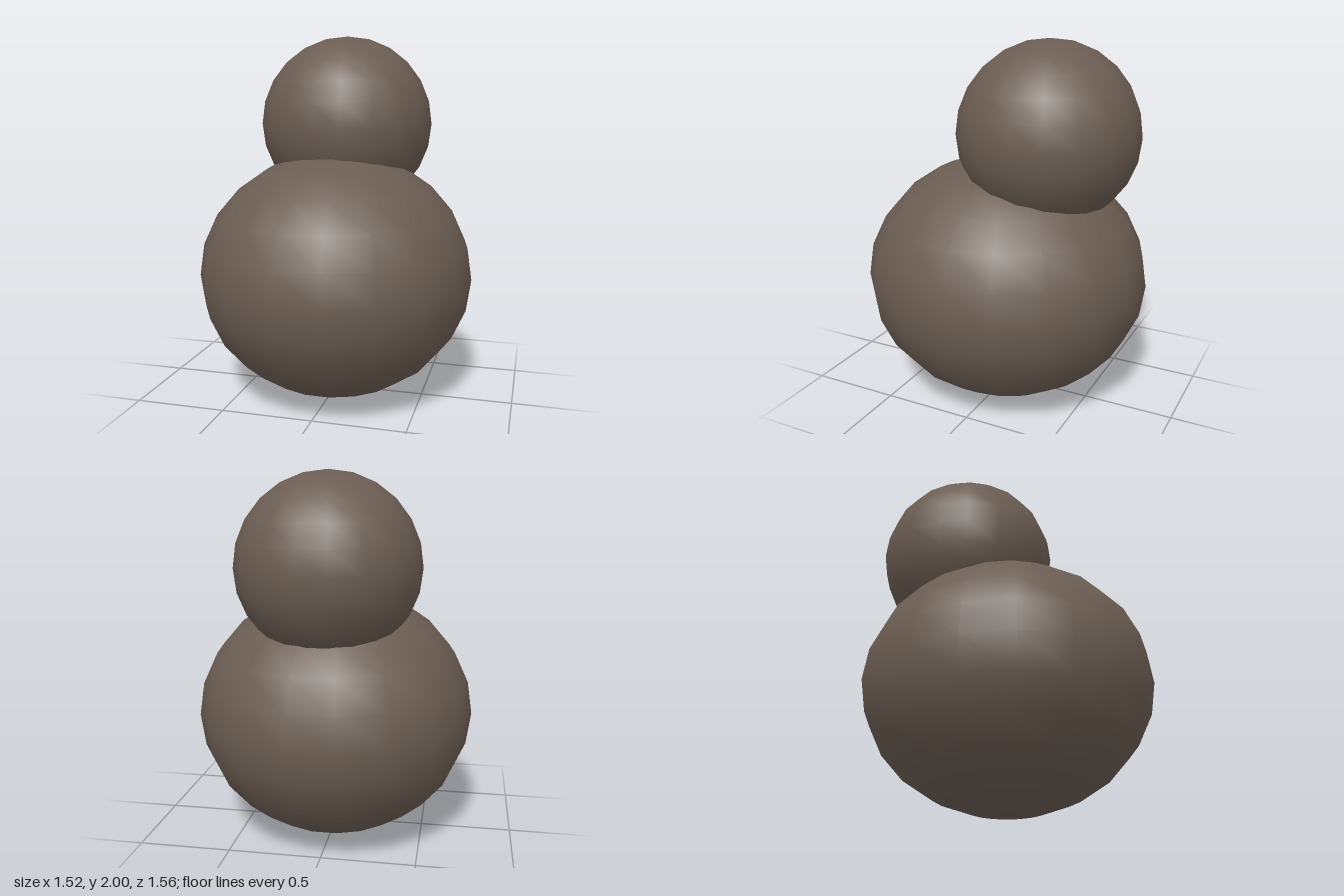
import * as THREE from 'three';

// Smooth-shaded ellipsoid with a coarse, faceted outline
function ball(name, material, radii, position) {
  const geometry = new THREE.SphereGeometry(1, 18, 12);
  geometry.scale(...radii);
  const mesh = new THREE.Mesh(geometry, material);
  mesh.name = name;
  mesh.position.set(...position);
  return mesh;
}

export function createModel() {
  const group = new THREE.Group();
  const brown = new THREE.MeshStandardMaterial({ color: 0x6b5d52 });

  // Large, slightly flattened body resting on the ground
  group.add(ball('body', brown, [0.76, 0.683, 0.79], [0, 0.683, 0]));

  // Round head set toward the back
  group.add(ball('head', brown, [0.49, 0.49, 0.492], [0, 1.51, -0.245]));

  return group;
}
